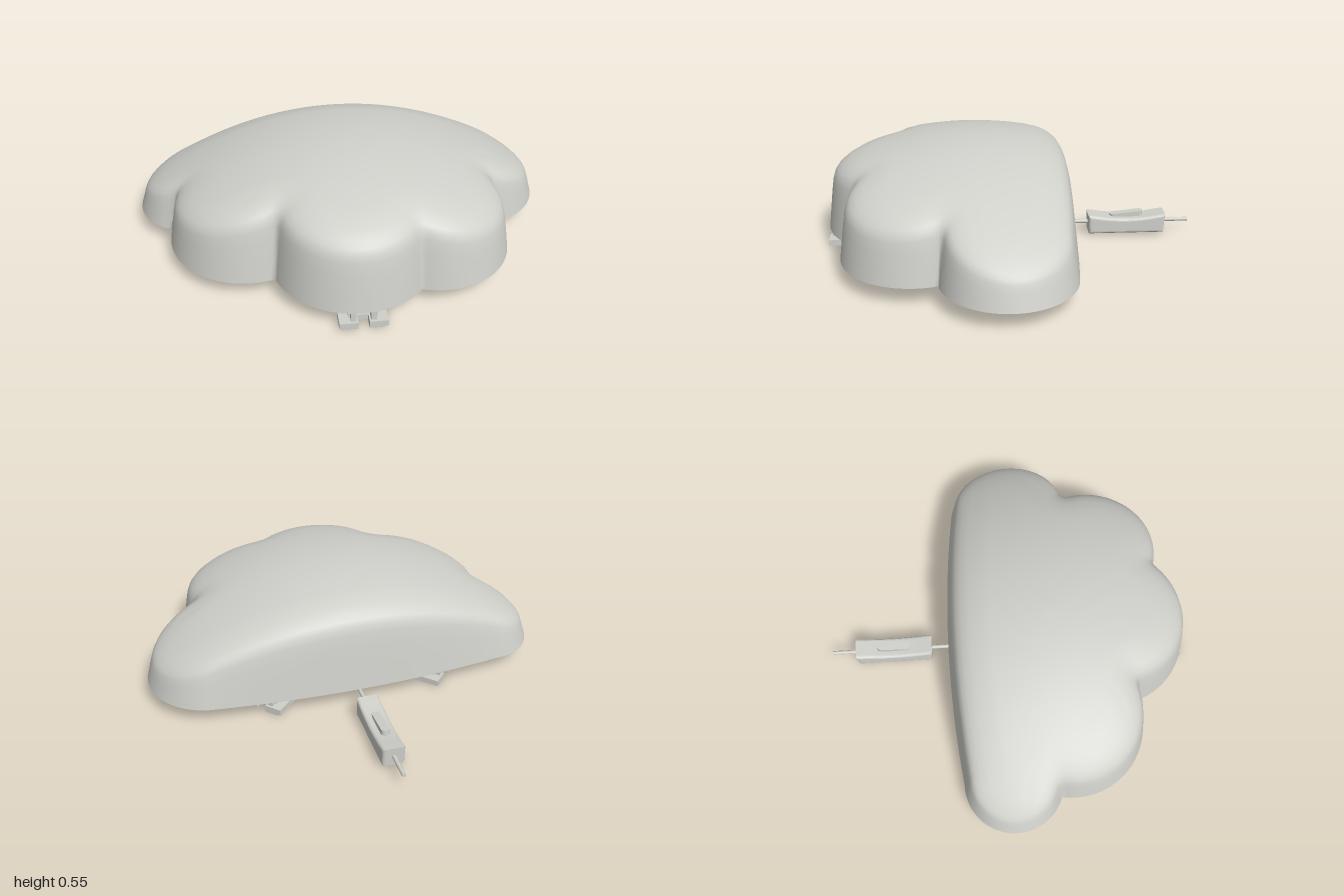
import * as THREE from 'three';

const V = (x, y) => new THREE.Vector2(x, y);
const BASE = 0.09, CX = 0, CZ = 0.2;

// Arc through three plan points, without its last point
function arc3(a, m, b, n) {
  const d = 2 * (a.x * (m.y - b.y) + m.x * (b.y - a.y) + b.x * (a.y - m.y));
  const A = a.lengthSq(), M = m.lengthSq(), B = b.lengthSq();
  const c = V((A * (m.y - b.y) + M * (b.y - a.y) + B * (a.y - m.y)) / d,
    (A * (b.x - m.x) + M * (a.x - b.x) + B * (m.x - a.x)) / d);
  const r = c.distanceTo(a), t0 = Math.atan2(a.y - c.y, a.x - c.x);
  let t1 = Math.atan2(b.y - c.y, b.x - c.x);
  if (t1 < t0) t1 += Math.PI * 2;
  return Array.from({ length: n }, (_, i) => {
    const t = t0 + (t1 - t0) * i / n;
    return V(c.x + r * Math.cos(t), c.y + r * Math.sin(t));
  });
}

// Cloud plan (x, z): lobes between notches
const lobes = [
  [-0.75, -0.26, 0, -0.31, 0.75, -0.26, 50],
  [0.75, -0.26, 1.0, 0.05, 0.74, 0.36, 44],
  [0.74, 0.36, 0.667, 0.7, 0.28, 0.8, 36],
  [0.28, 0.8, 0, 0.92, -0.37, 0.65, 40],
  [-0.37, 0.65, -0.73, 0.56, -0.84, 0.22, 36],
  [-0.84, 0.22, -1.0, -0.01, -0.75, -0.26, 36],
];
const outline = lobes.flatMap(([a, b, c, d, e, f, n]) => arc3(V(a, b), V(c, d), V(e, f), n));

function edgeDistance(x, z) {
  let best = Infinity;
  for (let i = 0; i < outline.length; i++) {
    const p = outline[i], q = outline[(i + 1) % outline.length];
    const ex = q.x - p.x, ez = q.y - p.y;
    const t = Math.min(1, Math.max(0, ((x - p.x) * ex + (z - p.y) * ez) / (ex * ex + ez * ez)));
    best = Math.min(best, Math.hypot(x - p.x - ex * t, z - p.y - ez * t));
  }
  return best;
}

// Move an outline point towards the middle until it lies d inside the edge
function inset(p, d) {
  const full = Math.hypot(p.x - CX, p.y - CZ), ux = (p.x - CX) / full, uz = (p.y - CZ) / full;
  let r = full;
  while (d > 0 && r > 0.05) {
    const gap = d - edgeDistance(CX + ux * r, CZ + uz * r);
    if (gap < 0.0005) break;
    r -= Math.max(gap, 0.0008);
  }
  return V(CX + ux * r, CZ + uz * r);
}

const dome = (x, z) => 0.55 - 0.33 * x * x - 0.28 * (z - 0.2) ** 2;

// Rings from the bottom edge, over the shoulder, to the middle of the dome
const profile = [[0, 0], [0.012, 0.3], [0.024, 0.58], [0.034, 0.76], [0.044, 0.85],
  [0.06, 0.91], [0.085, 0.95], [0.125, 0.985], [0.19, 1]];
function cloudRings(wall) {
  const put = (p, f) => new THREE.Vector3(p.x, BASE + (dome(p.x, p.y) - wall - BASE) * f, p.y);
  const rings = profile.map(([d, f]) => outline.map(p => put(inset(p, d + wall), f)));
  const last = rings[rings.length - 1];
  for (let k = 1; k <= 10; k++) {
    const s = 1 - k / 10;
    rings.push(last.map(v => put(V(CX + (v.x - CX) * s, CZ + (v.z - CZ) * s), 1)));
  }
  return rings;
}

function skin(rings, flip) {
  const n = rings[0].length, index = [];
  for (let j = 0; j < rings.length - 1; j++) {
    for (let i = 0; i < n; i++) {
      const a = j * n + i, b = j * n + (i + 1) % n, c = a + n, d = b + n;
      if (flip) index.push(a, b, c, b, d, c);
      else index.push(a, c, b, b, c, d);
    }
  }
  const g = new THREE.BufferGeometry().setFromPoints(rings.flat());
  g.setIndex(index);
  g.computeVertexNormals();
  return g;
}

export function createModel() {
  const model = new THREE.Group();
  model.name = 'cloudLamp';
  const grey = new THREE.MeshStandardMaterial({ color: 0xd0d0cb });
  grey.name = 'paleGrey';
  const add = (name, geometry, parent = model, x = 0, y = 0, z = 0) => {
    const mesh = new THREE.Mesh(geometry, grey);
    mesh.name = name;
    mesh.position.set(x, y, z);
    parent.add(mesh);
    return mesh;
  };

  // Hollow cloud shade
  const outer = cloudRings(0), inner = cloudRings(0.018);
  add('shadeOutside', skin(outer));
  add('shadeInside', skin(inner, true));
  add('shadeRim', skin([inner[0], outer[0]]));

  // Mounting plate: disc with three arms, curved slots and screw holes
  const R = 0.43, TIP = 0.65, HUBZ = 0.27, half = 0.3;
  const arms = [[-Math.PI / 4, 0.69], [Math.PI / 2, TIP], [Math.PI * 1.25, 0.69]];
  const plate = new THREE.Shape();
  arms.forEach(([a, L], i) => {
    const side = [[0.5, 0.09], [0.56, 0.09], [0.56, 0.11], [L, 0.11], [L, 0.025], [L - 0.05, 0.025]];
    const pts = [...side.map(([r, t]) => [r, -t]), ...side.slice().reverse()];
    pts.forEach(([r, t], k) => {
      const x = r * Math.cos(a) - t * Math.sin(a), y = r * Math.sin(a) + t * Math.cos(a);
      if (i === 0 && k === 0) plate.moveTo(x, y); else plate.lineTo(x, y);
    });
    const next = i < 2 ? arms[i + 1][0] : arms[0][0] + Math.PI * 2;
    plate.absarc(0, 0, R, a + half, next - half, false);
    const screw = new THREE.Path();
    screw.absarc(0.47 * Math.cos(a), 0.47 * Math.sin(a), 0.03, 0, Math.PI * 2, true);
    plate.holes.push(screw);
  });
  for (const a of [-Math.PI / 2, Math.PI / 6, Math.PI * 5 / 6]) {
    const slot = new THREE.Path(), s = 0.55, mid = 0.28, w = 0.06;
    const end = (t, from) => slot.absarc(mid * Math.cos(t), mid * Math.sin(t), w, from, from + Math.PI, false);
    slot.absarc(0, 0, mid + w, a - s, a + s, false);
    end(a + s, a + s);
    slot.absarc(0, 0, mid - w, a + s, a - s, true);
    end(a - s, a - s + Math.PI);
    plate.holes.push(slot);
  }
  const plateGeo = new THREE.ExtrudeGeometry(plate, { depth: 0.03, bevelEnabled: false, curveSegments: 32 });
  plateGeo.rotateX(Math.PI / 2);
  add('mountingPlate', plateGeo, model, 0, 0.036, HUBZ);

  // Light source housing on the plate
  add('lightHousing', new THREE.CylinderGeometry(0.165, 0.165, 0.09, 48), model, 0, 0.08, HUBZ);

  // Clips at the arm ends that hold the shade
  arms.forEach(([a, L]) => {
    const clip = new THREE.Group();
    clip.name = 'shadeClip';
    clip.position.set(0, 0, HUBZ);
    clip.rotation.y = -a;
    for (const s of [-1, 1]) {
      add('clipFoot', new THREE.BoxGeometry(0.05, 0.036, 0.07), clip, L - 0.025, 0.018, s * 0.06);
      add('clipPost', new THREE.BoxGeometry(0.035, 0.1, 0.025), clip, L - 0.03, 0.075, s * 0.045);
      add('clipTooth', new THREE.BoxGeometry(0.07, 0.05, 0.012), clip, L - 0.075, 0.055, s * 0.06);
    }
    add('clipBridge', new THREE.BoxGeometry(0.02, 0.035, 0.09), clip, L - 0.045, 0.09, 0);
    model.add(clip);
  });

  // Cable with strain relief
  const rod = (name, r0, r1, z0, z1) => {
    const g = new THREE.CylinderGeometry(r0, r1, Math.abs(z1 - z0), 20);
    g.rotateX(Math.PI / 2);
    add(name, g, model, 0, 0.062, (z0 + z1) / 2);
  };
  rod('cableInner', 0.01, 0.01, 0.05, -0.42);
  rod('cableOuter', 0.01, 0.01, -0.77, -0.92);
  rod('strainRelief', 0.024, 0.016, 0.05, -0.1);
  rod('strainCollar', 0.022, 0.022, -0.13, -0.17);

  // Inline switch: side profile with a dished top, extruded across
  const body = new THREE.Shape();
  body.moveTo(-0.775, 0.025);
  body.lineTo(-0.415, 0.025);
  body.lineTo(-0.41, 0.095);
  body.quadraticCurveTo(-0.595, 0.055, -0.78, 0.095);
  body.closePath();
  const bodyGeo = new THREE.ExtrudeGeometry(body, {
    depth: 0.08, bevelThickness: 0.015, bevelSize: 0.015, bevelSegments: 4, curveSegments: 16,
  });
  bodyGeo.translate(0, 0, -0.04);
  bodyGeo.rotateY(-Math.PI / 2);
  add('switchBody', bodyGeo);

  // Rocker button
  const button = new THREE.Shape();
  button.absarc(0, 0.065, 0.02, 0, Math.PI, false);
  button.absarc(0, -0.065, 0.02, Math.PI, Math.PI * 2, false);
  const buttonGeo = new THREE.ExtrudeGeometry(button, { depth: 0.03, bevelEnabled: false });
  buttonGeo.rotateX(Math.PI / 2);
  add('switchButton', buttonGeo, model, 0, 0.112, -0.595).rotation.x = 0.1;

  return model;
}
